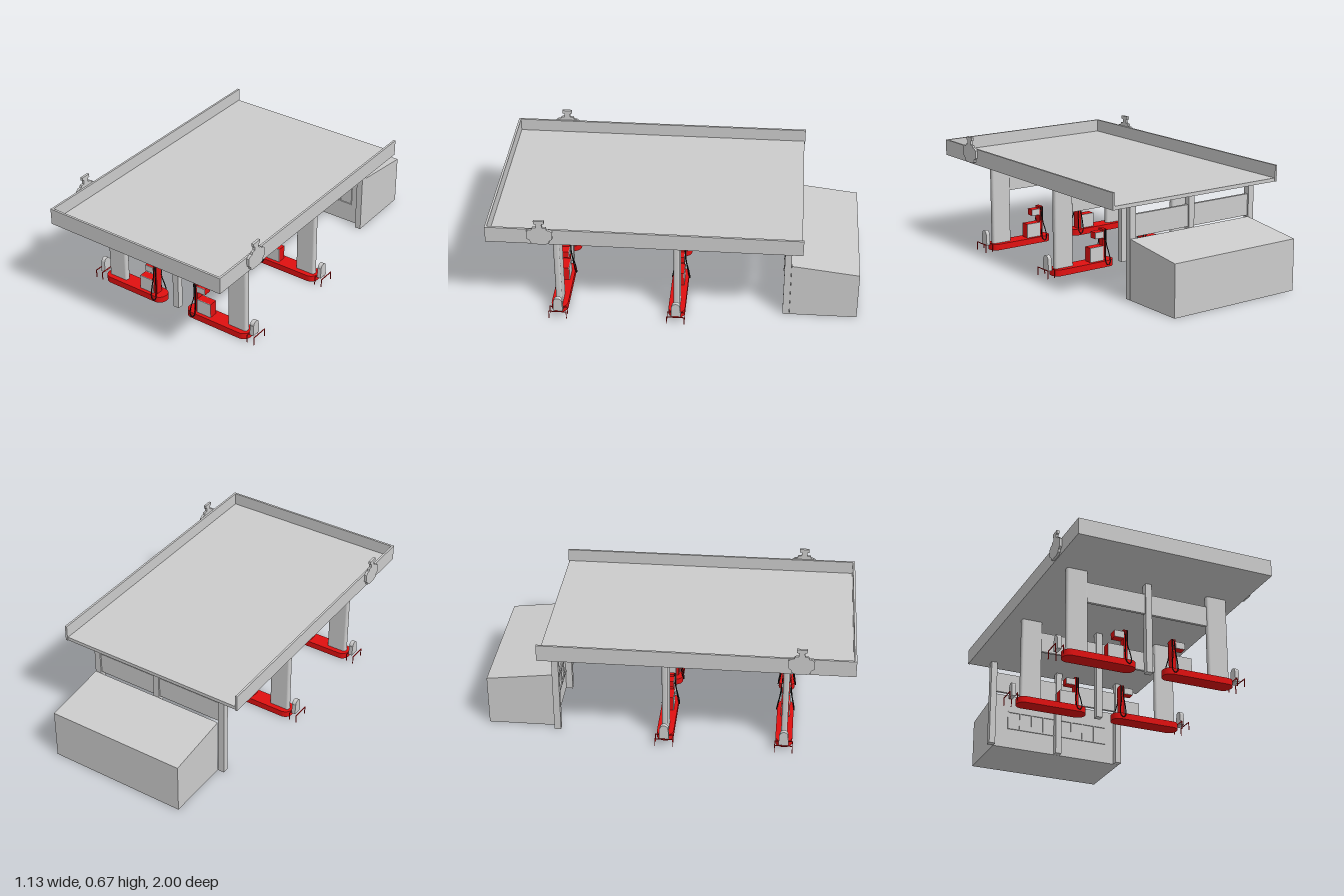
import * as THREE from 'three';

const grey = new THREE.MeshStandardMaterial({ color: 0xcccccc });
const red = new THREE.MeshStandardMaterial({ color: 0xe01010 });
const black = new THREE.MeshStandardMaterial({ color: 0x1a1a1a });

const CX = -0.005;           // middle line of the forecourt
const ROWS = [0.64, -0.01];  // z of the two pump rows

function add(parent, name, geometry, material = grey) {
  const mesh = new THREE.Mesh(geometry, material);
  mesh.name = name;
  parent.add(mesh);
  return mesh;
}

// Box given by its limits on each axis
function box(parent, name, [x0, x1], [y0, y1], [z0, z1], material) {
  const mesh = add(parent, name, new THREE.BoxGeometry(x1 - x0, y1 - y0, z1 - z0), material);
  mesh.position.set((x0 + x1) / 2, (y0 + y1) / 2, (z0 + z1) / 2);
  return mesh;
}

// Upright slab with rounded ends
function stadium(parent, name, x0, x1, halfZ, r, y0, y1, material) {
  const s = new THREE.Shape();
  s.moveTo(x0 + r, -halfZ);
  s.lineTo(x1 - r, -halfZ);
  s.absarc(x1 - r, -halfZ + r, r, -Math.PI / 2, 0);
  s.absarc(x1 - r, halfZ - r, r, 0, Math.PI / 2);
  s.lineTo(x0 + r, halfZ);
  s.absarc(x0 + r, halfZ - r, r, Math.PI / 2, Math.PI);
  s.absarc(x0 + r, -halfZ + r, r, Math.PI, Math.PI * 1.5);
  const g = new THREE.ExtrudeGeometry(s, { depth: y1 - y0, bevelEnabled: false, curveSegments: 8 });
  g.rotateX(-Math.PI / 2).translate(0, y0, 0);
  return add(parent, name, g, material);
}

// Outline drawn in (z, y), extruded along x from x0
function sideProfile(parent, name, shape, x0, width, material) {
  const g = new THREE.ExtrudeGeometry(shape, { depth: width, bevelEnabled: false, curveSegments: 12 });
  g.rotateY(-Math.PI / 2).scale(1, 1, 1).translate(x0 + width, 0, 0);
  return add(parent, name, g, material);
}

function polygon(points) {
  return new THREE.Shape(points.map(([a, b]) => new THREE.Vector2(a, b)));
}

function buildCanopy() {
  const canopy = new THREE.Group();
  canopy.name = 'canopy';
  box(canopy, 'roofSlab', [-0.545, 0.54], [0.515, 0.535], [-0.68, 0.99]);
  box(canopy, 'rightFascia', [-0.555, -0.543], [0.515, 0.607], [-0.685, 1]);
  box(canopy, 'leftFascia', [0.538, 0.55], [0.515, 0.607], [-0.685, 1]);
  box(canopy, 'frontFascia', [-0.543, 0.538], [0.515, 0.607], [0.988, 1]);

  // Side plates with a neck and cap
  const half = [[0.03, 0.522], [0.05, 0.53], [0.052, 0.545], [0.067, 0.555], [0.069, 0.6],
    [0.055, 0.612], [0.04, 0.614], [0.036, 0.626], [0.017, 0.628], [0.015, 0.65], [0.028, 0.652], [0.028, 0.67]];
  const outline = polygon([...half, ...half.map(([z, y]) => [-z, y]).reverse()]);
  for (const [x0, z] of [[-0.568, 0.714], [0.55, 0.706]]) {
    sideProfile(canopy, 'sidePlate', outline, x0, 0.014).position.z = z;
  }
  return canopy;
}

// One island on the +x side, local z = 0
function buildIsland() {
  const island = new THREE.Group();
  island.name = 'pumpIsland';
  stadium(island, 'kerb', 0.08, 0.486, 0.046, 0.044, 0, 0.036, red);
  stadium(island, 'column', 0.348, 0.467, 0.017, 0.012, 0.036, 0.515);

  // Pump: low cabinet, post and display head with grey faces
  const parts = [
    ['cabinet', [0.15, 0.24], [0.036, 0.119], 0.023],
    ['post', [0.128, 0.15], [0.036, 0.215], 0.02],
    ['displayHead', [0.15, 0.203], [0.165, 0.202], 0.021],
  ];
  for (const [name, xs, ys, d] of parts) {
    box(island, name, xs, ys, [-d, d], red);
    if (name === 'post') continue;
    for (const s of [-1, 1]) {
      const z = s * (d + 0.001);
      box(island, name + 'Face', xs, ys, [z - 0.002, z + 0.002], grey);
    }
  }
  for (const s of [-1, 1]) {
    // Hanging hose and its nozzle
    const path = new THREE.CatmullRomCurve3([
      [0.142, 0.21, 0.022], [0.144, 0.14, 0.03], [0.15, 0.07, 0.04], [0.147, 0.025, 0.048],
      [0.132, 0.01, 0.05], [0.119, 0.025, 0.047], [0.12, 0.07, 0.038], [0.13, 0.12, 0.028], [0.131, 0.16, 0.022],
    ].map(([x, y, z]) => new THREE.Vector3(x, y, z * s)));
    add(island, 'hose', new THREE.TubeGeometry(path, 40, 0.003, 6), black);
    box(island, 'nozzle', [0.128, 0.134], [0.15, 0.212], s > 0 ? [0.019, 0.026] : [-0.026, -0.019], black);
  }

  // Arched end guard
  const arch = new THREE.Shape();
  arch.moveTo(-0.027, 0.036);
  arch.lineTo(0.027, 0.036);
  arch.lineTo(0.025, 0.097);
  arch.absarc(0, 0.097, 0.023, 0, Math.PI);
  sideProfile(island, 'endGuard', arch, 0.498, 0.023);

  // Thin hoops beyond the kerb end
  for (const x of [0.497, 0.54]) {
    for (const z of [-0.048, 0.048]) {
      box(island, 'hoopLeg', [x - 0.002, x + 0.002], [0, 0.048], [z - 0.002, z + 0.002], red);
    }
    box(island, 'hoopRail', [x - 0.002, x + 0.002], [0.044, 0.048], [-0.048, 0.048], red);
  }
  return island;
}

function buildRow(z) {
  const row = new THREE.Group();
  row.name = 'pumpRow';
  const left = buildIsland();
  const right = buildIsland();
  right.rotation.y = Math.PI; // the island is the same front and back
  row.add(left, right);
  box(row, 'centrePost', [-0.018, 0.018], [0, 0.515], [-0.018, 0.018]);
  box(row, 'crossPanel', [-0.363, 0.363], [0.34, 0.455], [-0.008, 0.008]);
  row.position.set(CX, 0, z);
  return row;
}

function buildOffice() {
  const office = new THREE.Group();
  office.name = 'office';
  sideProfile(office, 'officeBody', polygon([[-1, 0], [-0.63, 0], [-0.63, 0.33], [-1, 0.285]]), -0.4, 0.8);

  // Rear posts and cross panel carrying the canopy
  for (const x of [-0.42, CX, 0.383]) {
    box(office, 'rearPost', [x - 0.018, x + 0.018], [0, 0.515], [-0.629, -0.592]);
  }
  box(office, 'rearCrossPanel', [-0.41, 0.375], [0.335, 0.455], [-0.62, -0.604]);

  // Window band: two frames of four panes
  for (const [x0, x1] of [[-0.312, -0.018], [0.014, 0.31]]) {
    const step = (x1 - x0) / 4;
    for (let i = 0; i <= 4; i++) {
      const x = x0 + i * step;
      box(office, 'mullion', [x - 0.003, x + 0.003], [0.118, 0.228], [-0.632, -0.624]);
    }
    for (const y of [0.118, 0.222]) {
      box(office, 'windowRail', [x0, x1], [y, y + 0.006], [-0.632, -0.624]);
    }
  }
  return office;
}

export function createModel() {
  const model = new THREE.Group();
  model.name = 'fillingStation';
  model.add(buildCanopy(), buildOffice(), ...ROWS.map(buildRow));
  return model;
}
